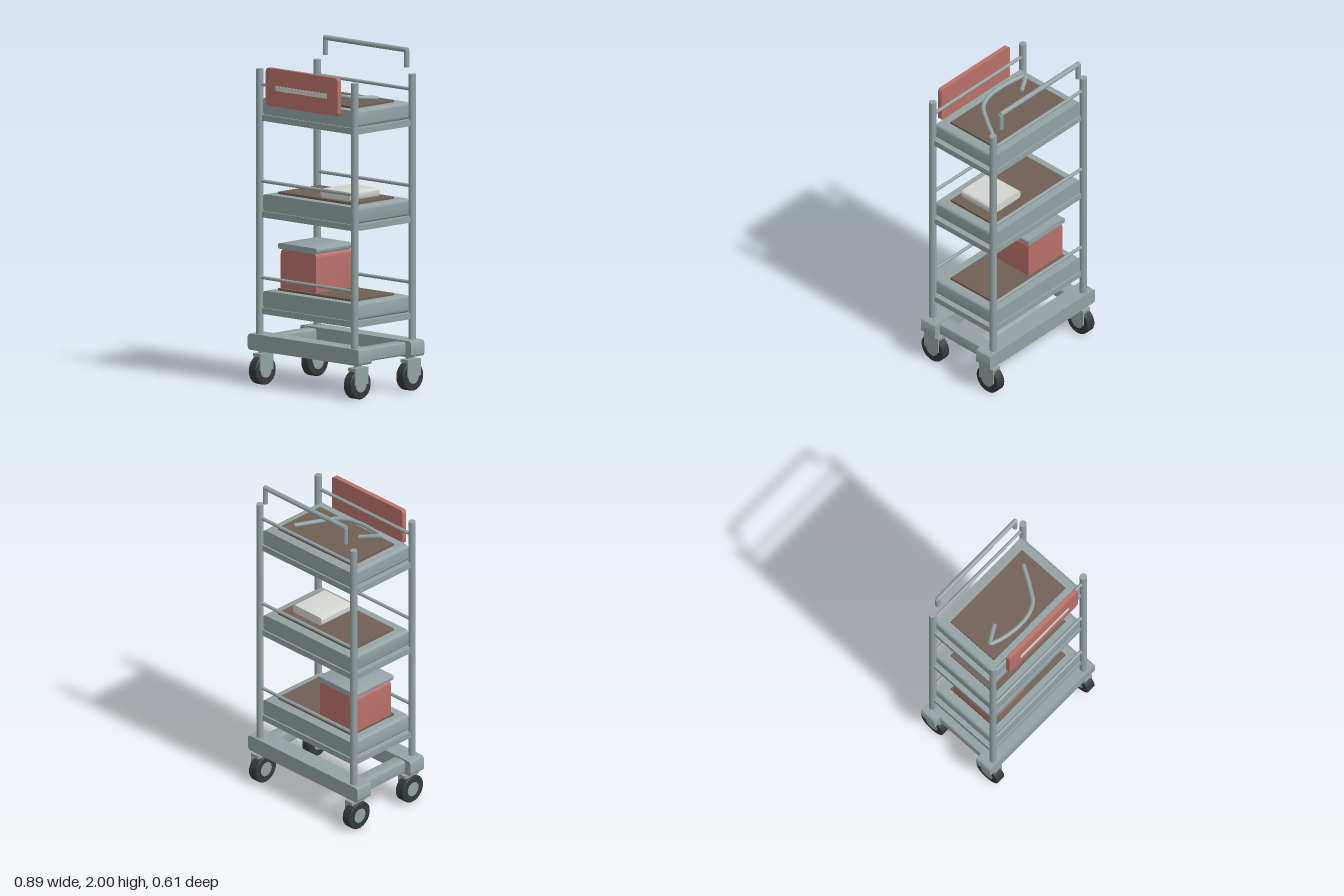
import * as THREE from 'three';
import { toCreasedNormals } from 'three/addons/utils/BufferGeometryUtils.js';

const paint = (name, color) => {
  const m = new THREE.MeshStandardMaterial({ color });
  m.name = name;
  return m;
};

export function createModel() {
  const metal = paint('grey metal', 0x93a2a4);
  const red = paint('dusty red', 0xb87168);
  const brown = paint('brown mat', 0x715f53);
  const white = paint('off white', 0xd3d5d1);
  const rubber = paint('dark rubber', 0x34393d);

  const model = new THREE.Group();
  model.name = 'serviceTrolley';

  const add = (name, geometry, material, x = 0, y = 0, z = 0, parent = model) => {
    const mesh = new THREE.Mesh(geometry, material);
    mesh.name = name;
    mesh.position.set(x, y, z);
    parent.add(mesh);
    return mesh;
  };

  // Box given by its limits on each axis
  const block = (name, material, [x0, x1], [y0, y1], [z0, z1], parent = model) =>
    add(name, new THREE.BoxGeometry(x1 - x0, y1 - y0, z1 - z0), material,
      (x0 + x1) / 2, (y0 + y1) / 2, (z0 + z1) / 2, parent);

  // Slab with four rounded edges running along z
  const slab = (name, material, [x0, x1], [y0, y1], [z0, z1], r) => {
    const s = new THREE.Shape();
    s.moveTo(x0 + r, y0);
    s.lineTo(x1 - r, y0);
    s.absarc(x1 - r, y0 + r, r, -Math.PI / 2, 0);
    s.lineTo(x1, y1 - r);
    s.absarc(x1 - r, y1 - r, r, 0, Math.PI / 2);
    s.lineTo(x0 + r, y1);
    s.absarc(x0 + r, y1 - r, r, Math.PI / 2, Math.PI);
    s.lineTo(x0, y0 + r);
    s.absarc(x0 + r, y0 + r, r, Math.PI, Math.PI * 1.5);
    const g = new THREE.ExtrudeGeometry(s, { depth: z1 - z0, bevelEnabled: false, curveSegments: 5 });
    return add(name, toCreasedNormals(g, 0.6), material, 0, 0, z0);
  };

  // Round bar between two points
  const bar = (name, a, b, r) => {
    const from = new THREE.Vector3(...a), to = new THREE.Vector3(...b);
    const dir = to.clone().sub(from);
    const mesh = add(name, new THREE.CylinderGeometry(r, r, dir.length(), 16), metal);
    mesh.position.copy(from).add(to).multiplyScalar(0.5);
    mesh.quaternion.setFromUnitVectors(new THREE.Vector3(0, 1, 0), dir.normalize());
    return mesh;
  };

  const px = 0.383, pz = 0.239;

  // Base frame
  slab('frontBaseBeam', metal, [-0.447, 0.447], [0.203, 0.298], [0.163, 0.273], 0.018);
  slab('backBaseBeam', metal, [-0.447, 0.447], [0.203, 0.298], [-0.273, -0.163], 0.018);
  for (const s of [-1, 1]) {
    slab('sideBaseBeam', metal, [s * 0.36 - 0.043, s * 0.36 + 0.043], [0.211, 0.288], [-0.17, 0.17], 0.012);
  }

  // Tyre with a slight shoulder, spun around the axle
  const tyreProfile = [[0.04, -0.03], [0.08, -0.03], [0.085, -0.026],
    [0.085, 0.026], [0.08, 0.03], [0.04, 0.03]]
    .map(([r, h]) => new THREE.Vector2(r, h));
  const tyre = toCreasedNormals(new THREE.LatheGeometry(tyreProfile, 28), 0.6).rotateZ(Math.PI / 2);
  const hub = new THREE.CylinderGeometry(0.044, 0.044, 0.064, 20).rotateZ(Math.PI / 2);

  for (const sx of [-1, 1]) {
    for (const sz of [-1, 1]) {
      // Corner post
      bar('post', [sx * px, 0.25, sz * pz], [sx * px, 1.852, sz * pz], 0.0215);

      // Caster with a one-sided fork
      const caster = new THREE.Group();
      caster.name = 'caster';
      caster.position.set(sx * px, 0, sz * 0.218);
      model.add(caster);
      add('tyre', tyre, rubber, 0, 0.085, 0, caster);
      add('hub', hub, metal, 0, 0.085, 0, caster);
      block('forkTop', metal, [-0.022, 0.036], [0.166, 0.186], [-0.055, 0.055], caster);
      block('forkArm', metal, [0.026, 0.038], [0.086, 0.186], [-0.055, 0.055], caster);
      add('stem', new THREE.CylinderGeometry(0.023, 0.023, 0.04, 16), metal, 0, 0.196, 0, caster);
    }
  }

  // Three shelves: flat deck, tray, mat and guard rails
  for (const y of [0.451, 1.017, 1.583]) {
    block('deck', metal, [-0.39, 0.39], [y - 0.034, y + 0.002], [-0.241, 0.241]);
    slab('tray', metal, [-0.364, 0.364], [y, y + 0.102], [-0.231, 0.231], 0.02);
    block('mat', brown, [-0.303, 0.303], [y + 0.1, y + 0.115], [-0.171, 0.171]);
    for (const s of [-1, 1]) {
      bar('guardRail', [-px, y + 0.179, s * pz], [px, y + 0.179, s * pz], 0.01);
    }
  }

  // Push handle
  bar('handleGrip', [-0.333, 1.985, -0.25], [0.333, 1.985, -0.25], 0.015);
  for (const s of [-1, 1]) {
    bar('handleLeg', [s * 0.328, 1.883, -0.25], [s * 0.328, 1.985, -0.25], 0.015);
  }

  // Front sign with a pale stripe
  slab('sign', red, [-0.291, 0.289], [1.652, 1.874], [0.255, 0.284], 0.02);
  block('signStripe', white, [-0.204, 0.203], [1.747, 1.776], [0.288, 0.292]);

  // Box with lid on the bottom shelf
  slab('bin', red, [-0.303, -0.017], [0.53, 0.798], [-0.147, 0.147], 0.03);
  slab('binLid', metal, [-0.314, -0.004], [0.796, 0.829], [-0.158, 0.158], 0.012);

  // Folded cloth on the middle shelf
  slab('cloth', white, [0.01, 0.246], [1.131, 1.184], [-0.107, 0.139], 0.017);

  // Bent hose on the top shelf, with a short hooked end
  const hosePath = new THREE.CatmullRomCurve3([
    [0.235, 1.71, -0.095], [0.168, 1.718, 0.012], [0.1, 1.728, 0.102], [0.037, 1.735, 0.134],
    [-0.058, 1.741, 0.146], [-0.178, 1.749, 0.132], [-0.258, 1.759, 0.108],
  ].map(p => new THREE.Vector3(...p)));
  add('hose', new THREE.TubeGeometry(hosePath, 48, 0.0135, 12), metal);
  add('hoseElbow', new THREE.SphereGeometry(0.0145, 12, 8), metal, -0.257, 1.759, 0.103);
  add('hoseTip', new THREE.SphereGeometry(0.0135, 12, 8), metal, 0.235, 1.71, -0.095);
  bar('hoseHook', [-0.26, 1.76, 0.098], [-0.154, 1.736, 0.037], 0.0135);

  return model;
}
